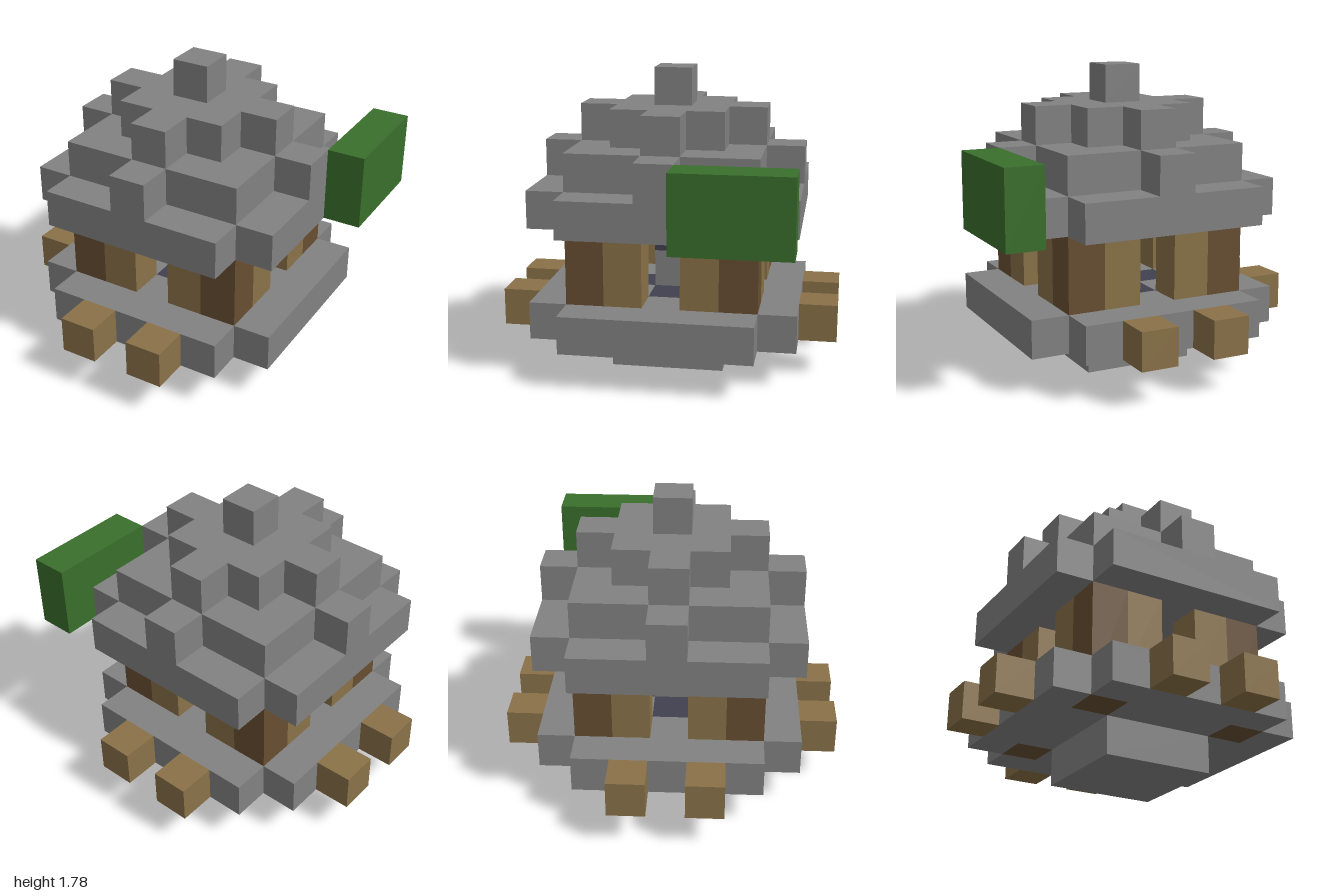
import * as THREE from 'three';

const U = 2 / 9; // one block

const mat = (name, color) => {
  const m = new THREE.MeshStandardMaterial({ color });
  m.name = name;
  return m;
};

export function createModel() {
  const model = new THREE.Group();
  model.name = 'blockPavilion';
  const stone = mat('stone grey', 0x828282);
  const wood = mat('light wood', 0x8a7248);
  const darkWood = mat('dark wood', 0x684f32);
  const leaf = mat('leaf green', 0x3a6f2c);
  const slate = mat('slate blue', 0x404050);

  const add = (name, geometry, material) => {
    const mesh = new THREE.Mesh(geometry, material);
    mesh.name = name;
    model.add(mesh);
  };

  // Box centred on block (x, z), rising h blocks from level y
  const block = (name, material, x, y, z, h = 1, w = 1, d = 1) => {
    const g = new THREE.BoxGeometry(w * U, h * U, d * U);
    g.translate(x * U, (y + h / 2) * U, z * U);
    add(name, g, material);
  };

  // Stepped outline: one corner repeated by four quarter turns
  const outline = (corner) => {
    const pts = [];
    for (let q = 0; q < 4; q++) {
      for (const [x, y] of corner) {
        let px = x, py = y;
        for (let i = 0; i < q; i++) [px, py] = [-py, px];
        pts.push(new THREE.Vector2(px * U, py * U));
      }
    }
    return pts;
  };

  const layer = (name, material, y, corner, holes = []) => {
    const shape = new THREE.Shape(outline(corner));
    for (const h of holes) shape.holes.push(new THREE.Path(h));
    const g = new THREE.ExtrudeGeometry(shape, { depth: U, bevelEnabled: false });
    g.rotateX(-Math.PI / 2);
    g.translate(0, y * U, 0);
    add(name, g, material);
  };

  const wide = [[3.5, 2.5], [2.5, 2.5], [2.5, 3.5]];
  const cross = [[1.5, 0.5], [0.5, 0.5], [0.5, 1.5]];
  const signs = [-1, 1];

  // Foot and floor, with openings for the corner posts and the inlay
  block('foot', stone, 0, 0, 0, 1, 3, 3);
  const openings = [outline(cross)];
  for (const sx of signs) for (const sz of signs) {
    openings.push(outline([[0.5, 0.5]]).map(
      (p) => new THREE.Vector2(p.x + sx * 2 * U, p.y + sz * 2 * U)));
  }
  layer('floor', stone, 1, wide, openings);
  layer('floorInlay', slate, 1, cross);

  // Corner posts with a wall panel on both inner sides
  for (const sx of signs) for (const sz of signs) {
    block('cornerPost', darkWood, 2 * sx, 1, 2 * sz, 3);
    block('wallPanel', wood, sx, 2, 2 * sz, 2);
    block('wallPanel', wood, 2 * sx, 2, sz, 2);
  }

  // Projecting beam ends: front, back and right side
  for (const s of signs) {
    block('frontBeam', wood, s, 1, 4);
    block('backBeam', wood, s, 1, -4);
    block('rightBeam', wood, -4, 1, s);
  }

  // Centre column
  block('pedestal', stone, 0, 2, 0);
  block('pedestalTop', slate, 0, 3, 0);

  // Stepped roof
  layer('roofEaves', stone, 4, wide);
  layer('roofMiddle', stone, 5,
    [[3.5, 0.5], [2.5, 0.5], [2.5, 2.5], [0.5, 2.5], [0.5, 3.5]]);
  layer('roofUpper', stone, 6,
    [[2.5, 0.5], [1.5, 0.5], [1.5, 1.5], [0.5, 1.5], [0.5, 2.5]]);
  block('finial', stone, 0, 7, 0);

  // Foliage hanging on the left eave
  block('foliage', leaf, 4, 4, -2, 2, 1, 3);

  return model;
}
